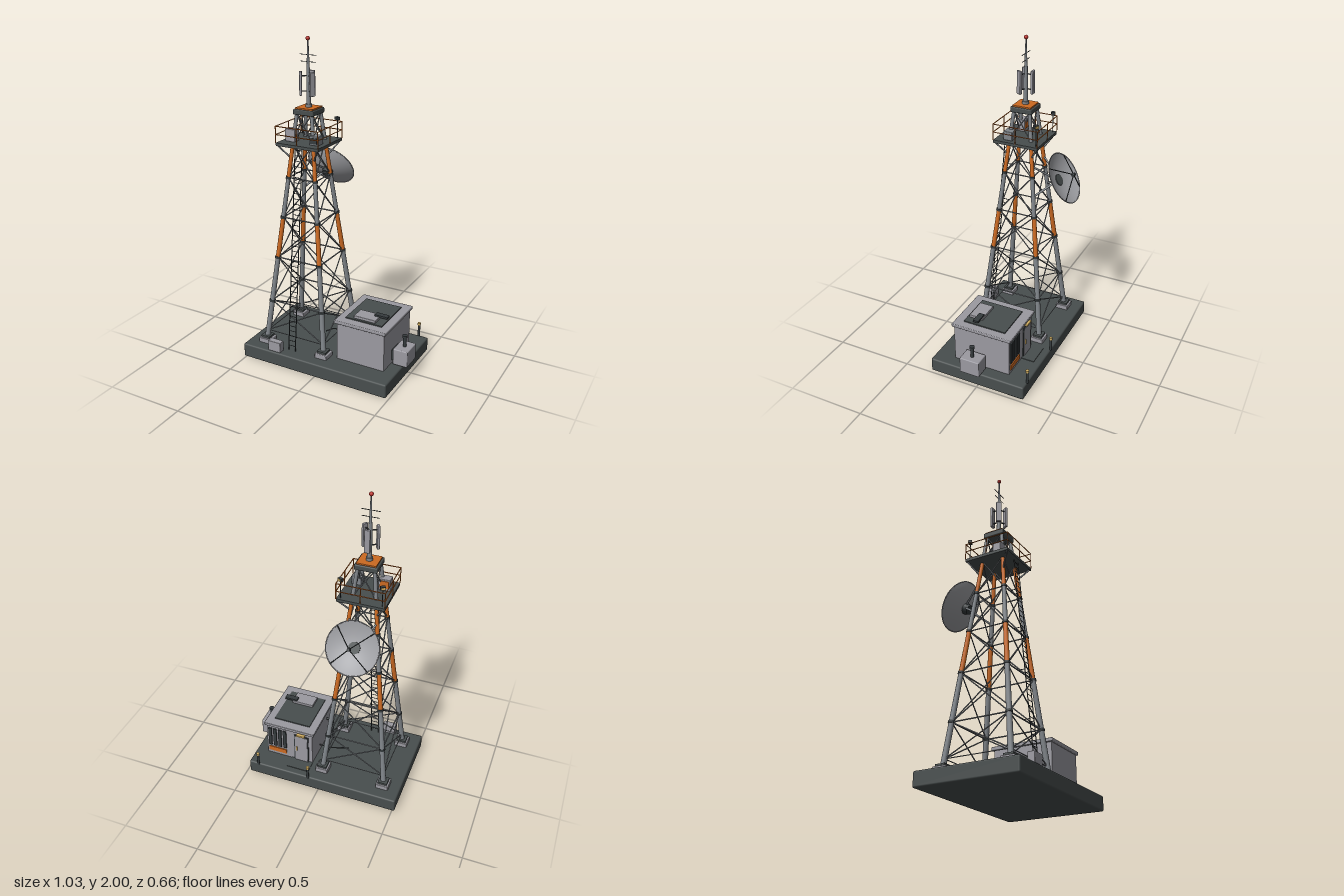
import * as THREE from 'three';
import { RoundedBoxGeometry } from 'three/addons/geometries/RoundedBoxGeometry.js';

const V = (x, y, z) => new THREE.Vector3(x, y, z);

export function createModel() {
  const mat = (name, color, side = THREE.FrontSide) => {
    const m = new THREE.MeshStandardMaterial({ color, side });
    m.name = name;
    return m;
  };
  const concrete = mat('dark concrete', 0x484e4e);
  const light = mat('light grey', 0x9b9aa1);
  const steel = mat('steel grey', 0x80858a);
  const dark = mat('dark steel', 0x363c3e);
  const orange = mat('orange', 0xcc6a22);
  const yellow = mat('pale yellow', 0xd6b264);
  const red = mat('red', 0xb8322b);
  const dishGrey = mat('dish grey', 0xa0a1a5, THREE.DoubleSide);

  const model = new THREE.Group();
  model.name = 'radioTowerSite';
  const group = (name, parent = model) => {
    const g = new THREE.Group();
    g.name = name;
    parent.add(g);
    return g;
  };
  const add = (parent, name, geo, material, x = 0, y = 0, z = 0) => {
    const m = new THREE.Mesh(geo, material);
    m.name = name;
    m.position.set(x, y, z);
    parent.add(m);
    return m;
  };
  // Box given by its extents on each axis
  const box = (parent, name, material, x0, x1, y0, y1, z0, z1, bevel = 0) => {
    const s = [x1 - x0, y1 - y0, z1 - z0];
    const geo = bevel ? new RoundedBoxGeometry(...s, 2, bevel) : new THREE.BoxGeometry(...s);
    return add(parent, name, geo, material, (x0 + x1) / 2, (y0 + y1) / 2, (z0 + z1) / 2);
  };
  // Round bar between two points
  const bar = (parent, name, material, a, b, r, rTop = r, sides = 8) => {
    const d = b.clone().sub(a);
    const m = add(parent, name, new THREE.CylinderGeometry(rTop, r, d.length(), sides), material);
    m.position.copy(a).addScaledVector(d, 0.5);
    m.quaternion.setFromUnitVectors(V(0, 1, 0), d.normalize());
    return m;
  };

  // Base slab
  box(model, 'baseSlab', concrete, -0.516, 0.482, 0, 0.09, -0.305, 0.328, 0.01);

  // Tower: four tapering legs around the centre line
  const CX = -0.2, CZ = 0.012;
  const half = (y) => 0.205 - 0.1076 * (y - 0.12);
  const signs = [[1, 1], [1, -1], [-1, -1], [-1, 1]];
  const corner = (i, y) => V(CX + signs[i % 4][0] * half(y), y, CZ + signs[i % 4][1] * half(y));
  const tower = group('tower');
  const levels = [0.13, 0.37, 0.66, 0.92, 1.17, 1.385, 1.56];
  const legColours = [steel, steel, orange, steel, orange, steel];
  for (let i = 0; i < 4; i++) {
    const p = corner(i, 0.12);
    box(tower, 'footing', light, p.x - 0.041, p.x + 0.041, 0.085, 0.12, p.z - 0.041, p.z + 0.041, 0.005);
    box(tower, 'footPlate', concrete, p.x - 0.03, p.x + 0.03, 0.118, 0.133, p.z - 0.03, p.z + 0.03);
    for (let k = 0; k < 6; k++) {
      const [y0, y1] = [levels[k], levels[k + 1]];
      const r = (y) => 0.0175 - 0.0065 * y / 1.56;
      bar(tower, 'leg', legColours[k], corner(i, y0), corner(i, y1), r(y0), r(y1), 12);
      if (k < 4) bar(tower, 'legFlange', dark, corner(i, y1 - 0.007), corner(i, y1 + 0.007), r(y1) + 0.004, r(y1) + 0.004, 12);
      const low = k === 0 ? 0.165 : y0;
      bar(tower, 'crossBrace', steel, corner(i, low), corner(i + 1, y1), 0.0038, 0.0038, 6);
      bar(tower, 'crossBrace', steel, corner(i + 1, low), corner(i, y1), 0.0038, 0.0038, 6);
      bar(tower, 'girt', steel, corner(i, low), corner(i + 1, low), k ? 0.0042 : 0.0028, k ? 0.0042 : 0.0028, 6);
    }
  }

  // Service platform with railing
  const platform = group('platform');
  const P = 0.143, DY = 1.39;
  box(platform, 'platformDeck', concrete, CX - P, CX + P, DY - 0.018, DY, CZ - P, CZ + P);
  const edge = (i, y, f = 1) => V(CX + signs[i % 4][0] * P * f, y, CZ + signs[i % 4][1] * P * f);
  for (let i = 0; i < 4; i++) {
    bar(platform, 'deckStrut', steel, corner(i, 1.29), edge(i, DY - 0.015, 0.95), 0.005);
    for (const y of [1.44, 1.49]) bar(platform, 'handrail', orange, edge(i, y), edge(i + 1, y), 0.003, 0.003, 6);
    for (const t of [0, 0.5]) {
      const a = edge(i, DY).lerp(edge(i + 1, DY), t);
      bar(platform, 'railPost', orange, a, a.clone().setY(1.492), 0.003, 0.003, 6);
    }
  }
  box(platform, 'equipmentCabinet', light, -0.318, -0.25, DY, 1.465, 0.04, 0.092, 0.004);
  box(platform, 'cabinetMark', orange, -0.31, -0.258, 1.41, 1.455, 0.035, 0.041);
  box(platform, 'equipmentBox', steel, -0.145, -0.086, DY, 1.445, 0.045, 0.102, 0.004);
  box(platform, 'equipmentBoxGrille', dark, -0.138, -0.093, 1.4, 1.435, 0.1, 0.106);
  for (const s of [-1, 1]) {
    const x = CX + s * 0.122;
    bar(platform, 'floodlightPost', dark, V(x, DY, -0.113), V(x, 1.505, -0.113), 0.0025);
    const lamp = group('floodlight', platform);
    lamp.position.set(x, 1.511, -0.113);
    lamp.rotation.y = -s * 0.5;
    box(lamp, 'lampHousing', dark, -0.014, 0.014, -0.009, 0.009, -0.01, 0.01);
    box(lamp, 'lampLens', yellow, -0.011, 0.011, -0.007, 0.007, -0.013, -0.009);
  }

  // Cap and mast
  const mast = group('mast');
  box(mast, 'towerCap', concrete, CX - 0.068, CX + 0.068, 1.552, 1.585, CZ - 0.068, CZ + 0.068, 0.006);
  box(mast, 'capPlate', orange, CX - 0.058, CX + 0.058, 1.584, 1.593, CZ - 0.058, CZ + 0.058);
  const pole = (name, m, y0, y1, r0, r1) => bar(mast, name, m, V(CX, y0, CZ), V(CX, y1, CZ), r0, r1, 14);
  pole('mastFlange', steel, 1.59, 1.61, 0.02, 0.02);
  pole('mastLower', steel, 1.6, 1.82, 0.014, 0.011);
  pole('mastUpper', steel, 1.82, 1.95, 0.009, 0.005);
  pole('mastTip', steel, 1.95, 1.98, 0.004, 0.004);
  add(mast, 'beacon', new THREE.SphereGeometry(0.0125, 16, 12), red, CX, 1.9875, CZ);
  for (const [y, h] of [[1.855, 0.05], [1.895, 0.055]]) {
    bar(mast, 'whipAntenna', dark, V(CX - h, y, CZ), V(CX + h, y, CZ), 0.002, 0.002, 6);
  }
  for (let i = 0; i < 3; i++) {
    const sector = group('sectorAntenna', mast);
    sector.position.set(CX, 1.73, CZ);
    sector.rotation.y = Math.PI + i * Math.PI * 2 / 3;
    box(sector, 'antennaPanel', light, -0.017, 0.017, -0.07, 0.07, 0.037, 0.053, 0.004);
    for (const y of [-0.045, 0.045]) bar(sector, 'panelBracket', dark, V(0, y, 0), V(0, y, 0.04), 0.004);
  }

  // Dish, its feed and its mounting arms
  const dish = group('dish');
  dish.position.set(CX, 1.165, -0.25);
  dish.rotation.x = -1.035;
  const R = 0.157, depth = 0.045;
  const profile = [];
  for (let i = 0; i <= 10; i++) profile.push(new THREE.Vector2(R * i / 10, depth * (i * i / 100 - 1)));
  add(dish, 'reflector', new THREE.LatheGeometry(profile, 40), dishGrey);
  const rim = add(dish, 'dishRim', new THREE.TorusGeometry(R, 0.003, 6, 40), dishGrey);
  rim.rotation.x = Math.PI / 2;
  add(dish, 'dishCentre', new THREE.CylinderGeometry(0.035, 0.035, 0.008, 24), concrete, 0, -depth + 0.004, 0);
  add(dish, 'dishHub', new THREE.CylinderGeometry(0.035, 0.028, 0.03, 16), dark, 0, -depth - 0.014, 0);
  add(dish, 'feedHorn', new THREE.CylinderGeometry(0.009, 0.011, 0.022, 12), dark, 0, 0.066, 0);
  for (let i = 0; i < 4; i++) {
    const a = Math.PI / 4 + i * Math.PI / 2;
    bar(dish, 'feedStrut', dark, V(R * Math.cos(a), 0, R * Math.sin(a)), V(0, 0.066, 0), 0.003, 0.003, 6);
  }
  for (const s of [-1, 1]) {
    bar(model, 'dishArm', steel, V(CX + s * 0.015, 1.15, -0.205), V(CX + s * half(1.24), 1.24, CZ - half(1.24)), 0.006);
    bar(model, 'dishArm', steel, V(CX + s * 0.015, 1.14, -0.205), V(CX + s * half(1.05), 1.05, CZ - half(1.05)), 0.007);
  }

  // Ladder on the front face
  const ladder = group('ladder');
  const rung = (t, x) => V(CX + x, 0.09 + 1.3 * t, 0.255 - 0.125 * t);
  for (const s of [-0.024, 0.024]) {
    bar(ladder, 'ladderRail', dark, rung(0, s), rung(1, s), 0.003, 0.003, 6);
    for (const y of [0.37, 0.66, 0.92, 1.17]) {
      const p = rung((y - 0.09) / 1.3, s);
      bar(ladder, 'ladderBracket', dark, p, V(p.x, y, CZ + half(y)), 0.0025, 0.0025, 6);
    }
  }
  for (let i = 1; i < 40; i++) bar(ladder, 'ladderRung', dark, rung(i / 40, -0.024), rung(i / 40, 0.024), 0.002, 0.002, 6);

  // Equipment shelter
  const shelter = group('shelter');
  box(shelter, 'shelterWalls', light, 0.088, 0.405, 0.085, 0.34, -0.175, 0.197);
  box(shelter, 'shelterRoof', light, 0.073, 0.417, 0.332, 0.354, -0.189, 0.209, 0.005);
  box(shelter, 'roofPanel', concrete, 0.123, 0.366, 0.35, 0.361, -0.129, 0.151);
  box(shelter, 'roofUnit', light, 0.173, 0.317, 0.36, 0.378, 0.047, 0.138, 0.003);
  box(shelter, 'roofVent', dark, 0.286, 0.37, 0.376, 0.388, 0.05, 0.085);
  box(shelter, 'doorFrame', dark, 0.112, 0.212, 0.09, 0.305, -0.181, -0.174);
  box(shelter, 'door', light, 0.119, 0.205, 0.092, 0.298, -0.184, -0.176);
  box(shelter, 'doorLamp', yellow, 0.135, 0.19, 0.31, 0.322, -0.196, -0.174);
  box(shelter, 'doorHandle', yellow, 0.188, 0.197, 0.18, 0.21, -0.19, -0.183);
  box(shelter, 'doorStep', concrete, 0.085, 0.233, 0.088, 0.094, -0.26, -0.175);
  for (let i = 0; i < 4; i++) {
    const x = 0.268 + i * 0.034;
    box(shelter, 'louver', dark, x, x + 0.022, 0.165, 0.31, -0.183, -0.174);
  }
  box(shelter, 'warningPanel', orange, 0.268, 0.392, 0.115, 0.148, -0.182, -0.174);

  // Side generator with exhaust
  const generator = group('generator');
  box(generator, 'generatorBody', light, 0.42, 0.516, 0.095, 0.2, -0.026, 0.104, 0.006);
  box(generator, 'generatorMount', dark, 0.4, 0.422, 0.11, 0.18, -0.01, 0.085);
  bar(generator, 'exhaustPipe', dark, V(0.469, 0.195, 0.04), V(0.469, 0.265, 0.04), 0.011, 0.011, 14);
  bar(generator, 'exhaustCap', dark, V(0.469, 0.262, 0.04), V(0.469, 0.275, 0.04), 0.016, 0.016, 14);

  // Conduit and cable run between the shelter and the tower
  const tube = (name, pts, r) => add(model, name,
    new THREE.TubeGeometry(new THREE.CatmullRomCurve3(pts, false, 'catmullrom', 0.2), 24, r, 8), dark);
  tube('conduit', [V(0.09, 0.26, 0.085), V(0.055, 0.26, 0.085), V(0.042, 0.245, 0.085), V(0.042, 0.088, 0.085)], 0.007);
  tube('cable', [V(0.09, 0.14, -0.047), V(0.01, 0.14, -0.047), V(-0.06, 0.145, -0.03), V(-0.1, 0.13, 0)], 0.004);

  // Ground cabinet and marker posts
  box(model, 'groundCabinet', light, -0.338, -0.25, 0.085, 0.155, 0.273, 0.315, 0.004);
  for (const x of [0.07, 0.418]) {
    bar(model, 'markerPost', dark, V(x, 0.085, -0.303), V(x, 0.165, -0.303), 0.008, 0.008, 12);
    bar(model, 'markerCap', yellow, V(x, 0.165, -0.303), V(x, 0.18, -0.303), 0.01, 0.01, 12);
  }
  return model;
}
